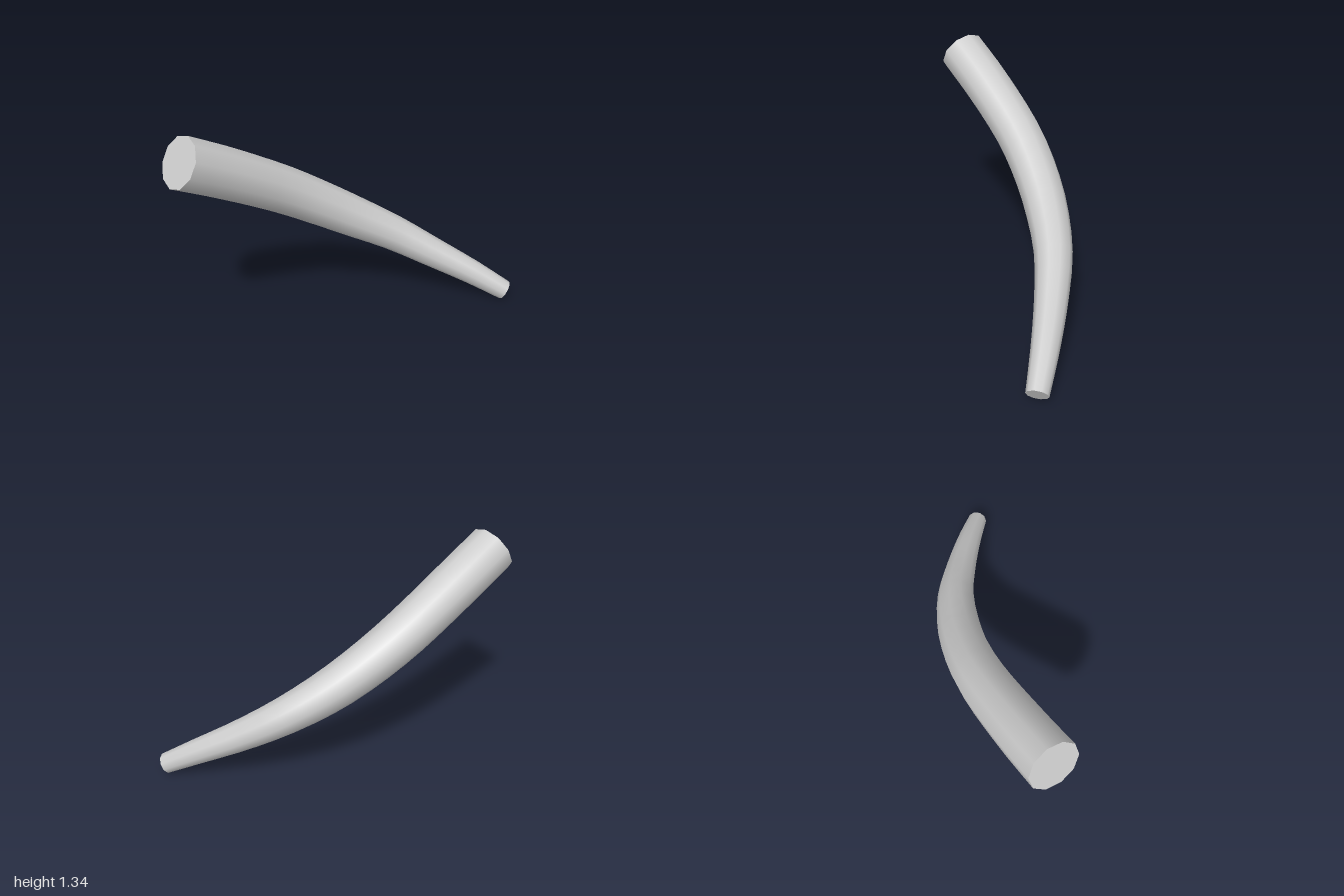
import * as THREE from 'three';

// Centre line stations from thick end to thin end: x, y, z, radius
const STATIONS = [
  [-0.895, 1.22, 0.3, 0.145],
  [-0.7, 1.085, 0.135, 0.144],
  [-0.4, 0.87, -0.09, 0.139],
  [-0.2, 0.73, -0.195, 0.133],
  [0, 0.6, -0.267, 0.125],
  [0.25, 0.456, -0.315, 0.109],
  [0.5, 0.315, -0.311, 0.093],
  [0.75, 0.183, -0.287, 0.077],
  [0.965, 0.062, -0.255, 0.062],
];
const SIDES = 10, STEPS = 20;

// Radius at a given x along the branch
function radiusAt(x) {
  let i = 1;
  while (i < STATIONS.length - 1 && x > STATIONS[i][0]) i++;
  const a = STATIONS[i - 1], b = STATIONS[i];
  const t = THREE.MathUtils.clamp((x - a[0]) / (b[0] - a[0]), 0, 1);
  return THREE.MathUtils.lerp(a[3], b[3], t);
}

// Flat end cap closing one ring of the tube
function capGeometry(tube, ring, flip) {
  const pos = tube.attributes.position, points = [], index = [];
  for (let j = 0; j < SIDES; j++) {
    const k = ring * (SIDES + 1) + j;
    points.push(pos.getX(k), pos.getY(k), pos.getZ(k));
    if (j > 1) index.push(0, ...(flip ? [j, j - 1] : [j - 1, j]));
  }
  const geo = new THREE.BufferGeometry();
  geo.setAttribute('position', new THREE.Float32BufferAttribute(points, 3));
  geo.setIndex(index);
  geo.computeVertexNormals();
  return geo;
}

export function createModel() {
  const group = new THREE.Group();
  group.name = 'taperedBranch';
  const material = new THREE.MeshStandardMaterial({ color: 0xcccccc });
  const add = (name, geometry) => {
    const mesh = new THREE.Mesh(geometry, material);
    mesh.name = name;
    group.add(mesh);
  };

  // Unit-radius tube, each ring shrunk to its own radius
  const curve = new THREE.CatmullRomCurve3(STATIONS.map(([x, y, z]) => new THREE.Vector3(x, y, z)));
  const tube = new THREE.TubeGeometry(curve, STEPS, 1, SIDES);
  const pos = tube.attributes.position, v = new THREE.Vector3();
  for (let i = 0; i <= STEPS; i++) {
    const centre = curve.getPointAt(i / STEPS), r = radiusAt(centre.x);
    for (let j = 0; j <= SIDES; j++) {
      const k = i * (SIDES + 1) + j;
      v.fromBufferAttribute(pos, k).sub(centre).multiplyScalar(r).add(centre);
      pos.setXYZ(k, v.x, v.y, v.z);
    }
  }
  add('shaft', tube);
  add('thickEnd', capGeometry(tube, 0, false));
  add('thinEnd', capGeometry(tube, STEPS, true));
  return group;
}
